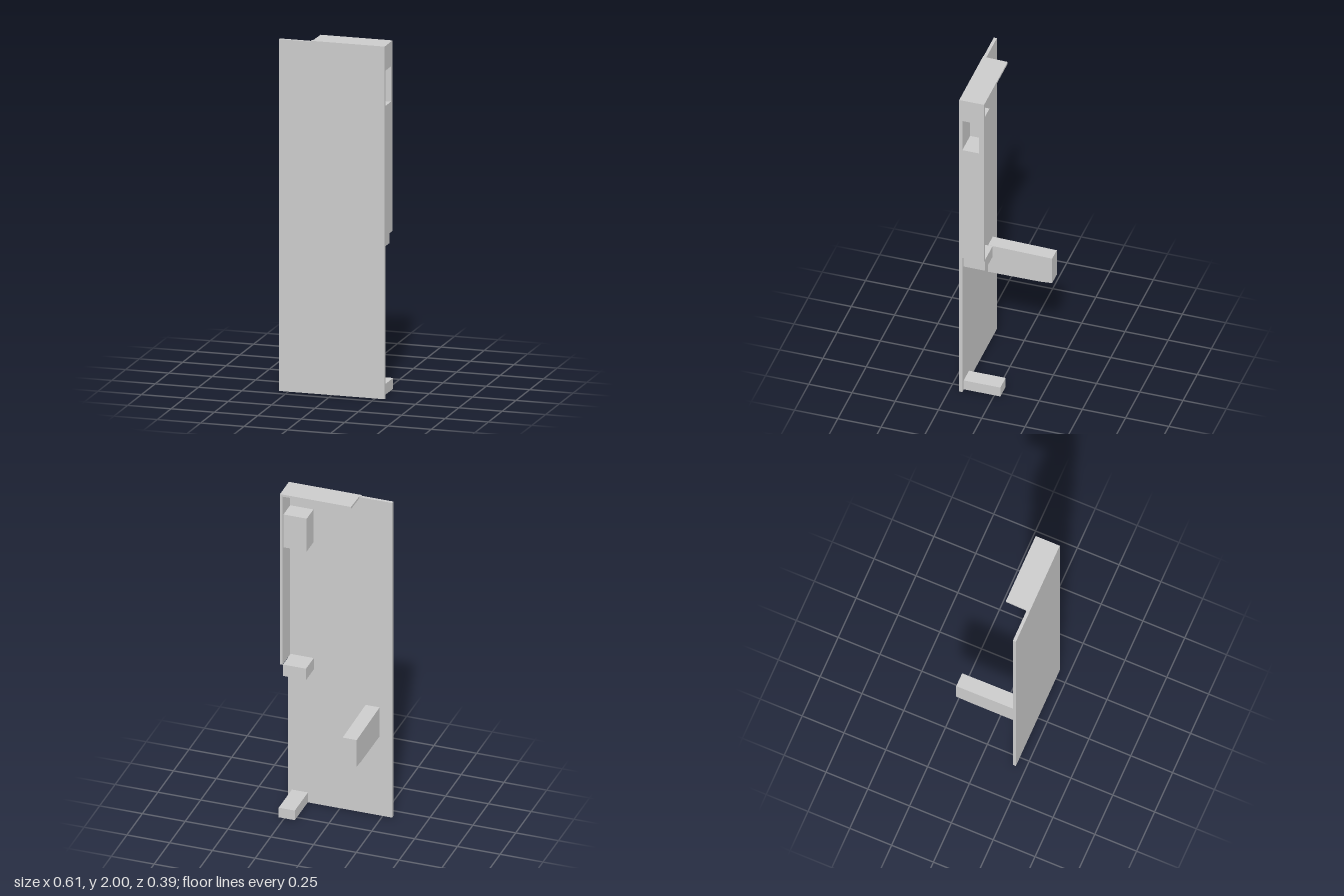
import * as THREE from 'three';

const material = new THREE.MeshStandardMaterial({ color: 0xcccccc, flatShading: true });

export function createModel() {
  const group = new THREE.Group();

  function add(name, geometry) {
    const mesh = new THREE.Mesh(geometry, material);
    mesh.name = name;
    group.add(mesh);
  }

  // Box given by its limits on each axis
  function block(name, [x0, x1], [y0, y1], [z0, z1]) {
    const g = new THREE.BoxGeometry(x1 - x0, y1 - y0, z1 - z0);
    g.translate((x0 + x1) / 2, (y0 + y1) / 2, (z0 + z1) / 2);
    add(name, g);
  }

  // Side profile of [z, y] points, extruded along x
  function sideProfile(name, points, x0, x1) {
    const shape = new THREE.Shape(points.map(([z, y]) => new THREE.Vector2(-z, y)));
    const g = new THREE.ExtrudeGeometry(shape, { depth: x1 - x0, bevelEnabled: false });
    g.rotateY(Math.PI / 2);
    g.translate(x0, 0, 0);
    add(name, g);
  }

  const inner = 0.176; // back surface of the front panel

  block('frontPanel', [-0.305, 0.305], [0, 1.995], [inner, 0.194]);

  // Side wall, notched by the latch window next to the panel
  sideProfile('sideWall', [
    [inner, 0.92], [0.05, 0.92], [0.05, 1.99], [inner, 1.99],
    [inner, 1.86], [0.08, 1.86], [0.08, 1.66], [inner, 1.66],
  ], 0.291, 0.305);

  // Top flange with a slightly slanted, filleted free end
  const top = new THREE.Shape();
  top.moveTo(0.305, -0.194);
  top.lineTo(0.305, -0.05);
  top.lineTo(-0.11, -0.05);
  top.lineTo(-0.113, -0.168);
  top.quadraticCurveTo(-0.114, -inner, -0.121, -inner);
  top.lineTo(-0.121, -0.194);
  const flange = new THREE.ExtrudeGeometry(top, { depth: 0.013, bevelEnabled: false, curveSegments: 4 });
  flange.rotateX(-Math.PI / 2);
  flange.translate(0, 1.987, 0);
  add('topFlange', flange);

  // Hollow latch pocket behind the window, open towards the side
  const t = 0.004;
  block('pocketBack', [0.155, 0.291], [1.66 - t, 1.86 + t], [0.068, 0.08]);
  block('pocketEnd', [0.155, 0.167], [1.66, 1.86], [0.08, inner]);
  block('pocketTop', [0.155, 0.291], [1.86, 1.86 + t], [0.08, inner]);
  block('pocketBottom', [0.155, 0.291], [1.66 - t, 1.66], [0.08, inner]);

  // Stop under the side wall and foot at the base
  block('middleStop', [0.153, 0.288], [0.85, 0.922], [0.051, inner]);
  block('bottomFoot', [0.187, 0.281], [0.002, 0.063], [-0.036, inner]);

  // Long peg, slightly tapered towards its tip
  sideProfile('longPeg', [
    [inner, 0.502], [-0.12, 0.504], [-0.194, 0.51], [-0.194, 0.678], [inner, 0.685],
  ], -0.232, -0.15);

  return group;
}
